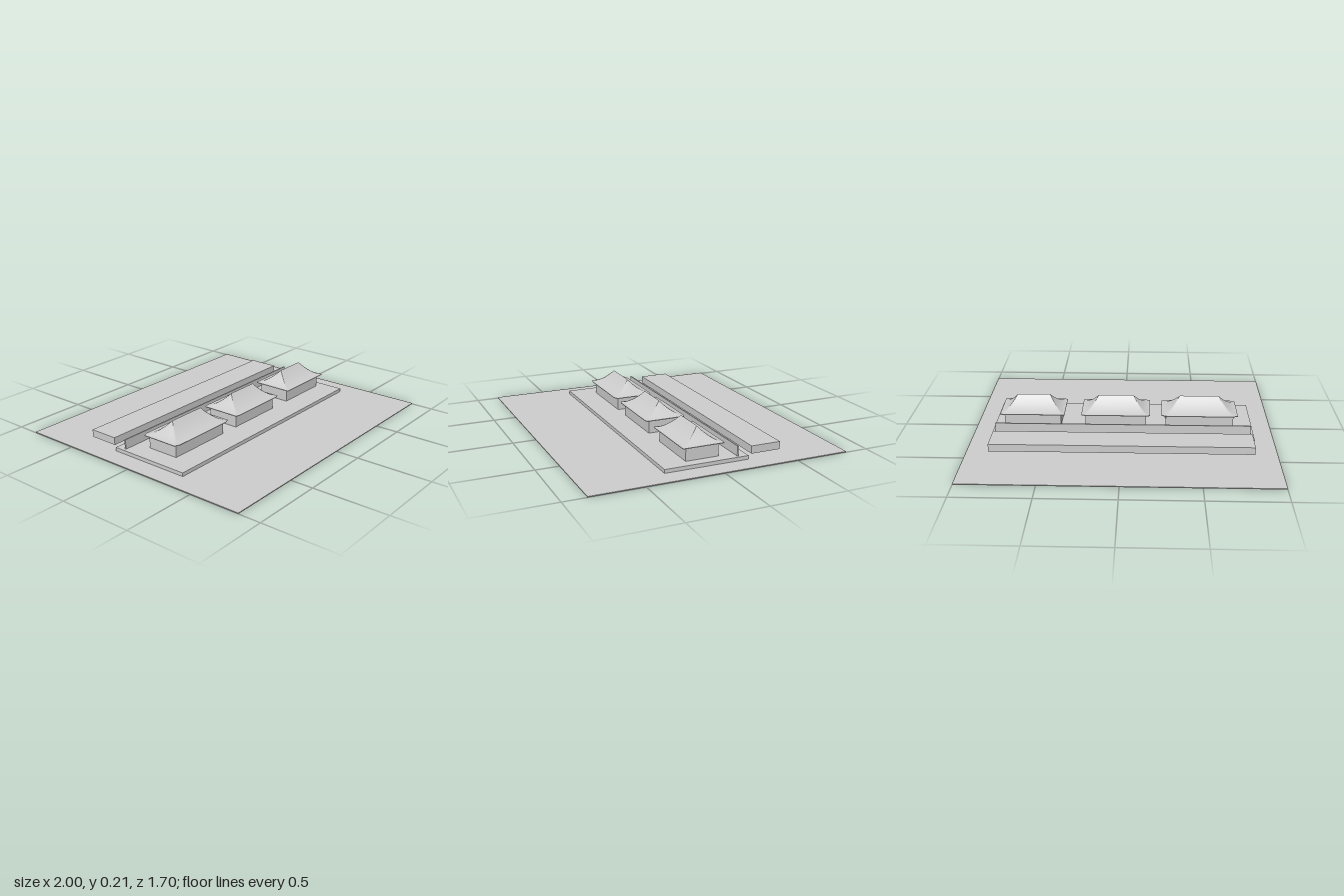
import * as THREE from 'three';

const gray = new THREE.MeshStandardMaterial({ color: 0xcccccc });
gray.name = 'stoneGray';

// Box given by its limits on each axis
function block(name, x0, x1, y0, y1, z0, z1) {
  const geo = new THREE.BoxGeometry(x1 - x0, y1 - y0, z1 - z0);
  geo.translate((x0 + x1) / 2, (y0 + y1) / 2, (z0 + z1) / 2);
  const mesh = new THREE.Mesh(geo, gray);
  mesh.name = name;
  return mesh;
}

// Concave hipped roof: chamfered eave rings shrinking to a ridge line
function hipRoof(halfWidth, halfRidge, halfDepth, chamfer) {
  const steps = 10, yEave = 0.122, yRidge = 0.214;
  const pos = [], idx = [];
  const ring = (t, y) => {
    const hx = THREE.MathUtils.lerp(halfWidth, halfRidge, t);
    const hz = halfDepth * (1 - t);
    const cx = chamfer * (1 - t), cz = 0.4 * cx;
    const corners = [
      [hx, hz - cz], [hx, cz - hz], [hx - cx, -hz], [cx - hx, -hz],
      [-hx, cz - hz], [-hx, hz - cz], [cx - hx, hz], [hx - cx, hz],
    ];
    for (const [x, z] of corners) pos.push(x, y, z);
  };
  for (let i = 0; i <= steps; i++) {
    const t = i / steps;
    ring(t, yEave + (yRidge - yEave) * Math.pow(t, 1.7));
  }
  for (let i = 0; i < steps; i++) {
    for (let j = 0; j < 8; j++) {
      const a = i * 8 + j, b = i * 8 + (j + 1) % 8;
      idx.push(a, b, b + 8, a, b + 8, a + 8);
    }
  }
  // eave edge and flat underside
  const lip = pos.length / 3;
  ring(0, yEave);
  ring(0, yEave - 0.004);
  ring(0, yEave - 0.004);
  for (let j = 0; j < 8; j++) {
    const a = lip + j, b = lip + (j + 1) % 8;
    idx.push(a, a + 8, b + 8, a, b + 8, b);
  }
  for (let j = 1; j < 7; j++) idx.push(lip + 16, lip + 16 + j + 1, lip + 16 + j);

  const geo = new THREE.BufferGeometry();
  geo.setAttribute('position', new THREE.Float32BufferAttribute(pos, 3));
  geo.setIndex(idx);
  geo.computeVertexNormals();
  const mesh = new THREE.Mesh(geo, gray);
  mesh.name = 'roof';
  return mesh;
}

export function createModel() {
  const model = new THREE.Group();
  model.name = 'courtyardHalls';

  // Ground, terrace, screen wall and raised long block behind
  model.add(
    block('ground', -1, 1, 0, 0.006, -0.85, 0.85),
    block('terrace', -0.87, 0.87, 0.006, 0.03, -0.23, 0.33),
    block('screenWall', -0.85, 0.85, 0.03, 0.094, -0.17, -0.161),
    block('rearBlock', -0.85, 0.85, 0.03, 0.08, -0.46, -0.26),
  );

  // Three halls: centre x, half body, half eave, half ridge, eave corner cut
  const halls = [
    [-0.515, 0.227, 0.255, 0.132, 0.035],
    [0.05, 0.205, 0.231, 0.117, 0.022],
    [0.612, 0.191, 0.217, 0.11, 0.01],
  ];
  halls.forEach(([x, body, eave, ridge, cut], i) => {
    const hall = new THREE.Group();
    hall.name = 'hall' + (i + 1);
    hall.add(block('hallBody', -body, body, 0.03, 0.121, -0.11, 0.11));
    hall.add(hipRoof(eave, ridge, 0.139, cut));
    hall.position.set(x, 0, 0.052);
    model.add(hall);
  });

  return model;
}
